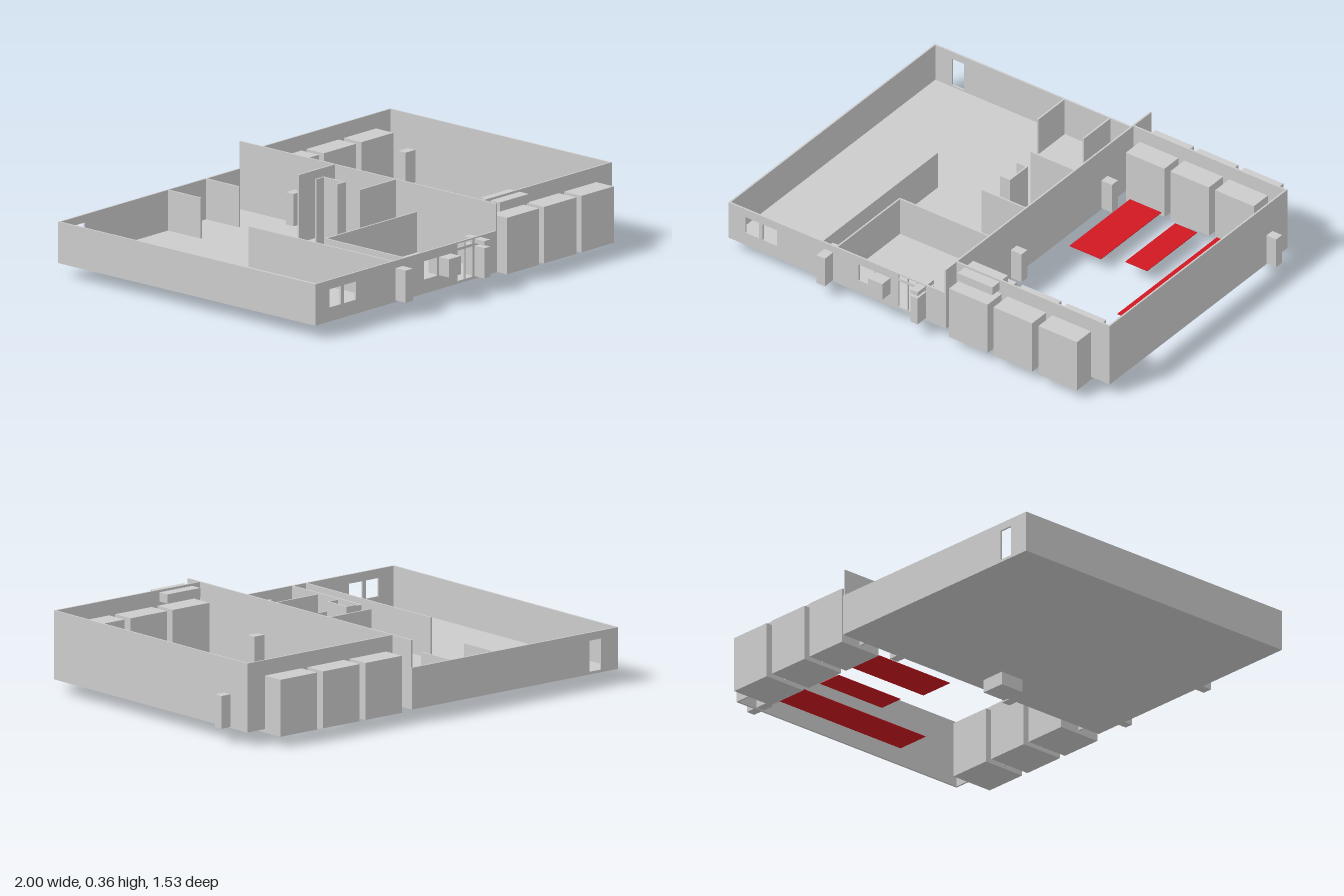
import * as THREE from 'three';

const T = 0.008; // wall thickness
const FLOOR = 0.06, LOW = 0.24, HIGH = 0.36;

export function createModel() {
  const model = new THREE.Group();
  model.name = 'warehouseWithOffice';
  const grey = new THREE.MeshStandardMaterial({ color: 0xcccccc, flatShading: true, side: THREE.DoubleSide });
  const red = new THREE.MeshStandardMaterial({ color: 0xd01820, side: THREE.DoubleSide });

  // Axis-aligned box given by its limits
  function box(name, x0, x1, y0, y1, z0, z1, material = grey) {
    const mesh = new THREE.Mesh(new THREE.BoxGeometry(x1 - x0, y1 - y0, z1 - z0), material);
    mesh.position.set((x0 + x1) / 2, (y0 + y1) / 2, (z0 + z1) / 2);
    mesh.name = name;
    model.add(mesh);
  }
  // Thin walls running along x or along z
  const wallX = (name, x0, x1, z, top) => box(name, x0, x1, FLOOR, top, z - T / 2, z + T / 2);
  const wallZ = (name, x, z0, z1, top) => box(name, x - T / 2, x + T / 2, FLOOR, top, z0, z1);

  // Wall along x with rectangular openings [x0, x1, y0, y1]
  function openWall(name, x0, x1, z, openings) {
    const rect = (path, a, b, c, d) =>
      path.moveTo(a, c).lineTo(b, c).lineTo(b, d).lineTo(a, d).closePath();
    const shape = rect(new THREE.Shape(), x0, x1, FLOOR, LOW);
    for (const o of openings) shape.holes.push(rect(new THREE.Path(), ...o));
    const mesh = new THREE.Mesh(new THREE.ExtrudeGeometry(shape, { depth: T, bevelEnabled: false }), grey);
    mesh.position.z = z - T / 2;
    mesh.name = name;
    model.add(mesh);
  }

  // Office shell
  box('officeFloor', -1, 0.144, FLOOR - 0.002, FLOOR + 0.002, -0.765, 0.704);
  wallZ('officeSideWall', -1 + T / 2, -0.765, 0.704, LOW);
  openWall('officeBackWall', -1, 0.144, -0.761, [[-0.905, -0.84, 0.07, 0.205]]);
  openWall('officeFrontWall', -1, 0.144, 0.7, [
    [-0.91, -0.84, 0.12, 0.2], [-0.82, -0.745, 0.12, 0.2], [-0.315, -0.235, 0.12, 0.2],
    [-0.105, -0.062, 0.07, 0.203], [-0.055, -0.01, 0.07, 0.203],
    [-0.105, -0.062, 0.215, 0.234], [-0.055, -0.01, 0.215, 0.234],
  ]);
  wallZ('dividerWall', 0.14, -0.76, 0.704, HIGH);

  // Office partitions
  wallZ('backPartition', -0.315, -0.765, -0.57, LOW);
  wallZ('backPartition', -0.075, -0.765, -0.57, LOW);
  wallZ('corridorWall', -0.51, -0.12, 0.7, LOW);
  wallZ('frontRoomSideWall', -0.434, 0.25, 0.7, LOW);
  wallX('frontRoomBackWall', -0.434, 0.14, 0.25, LOW);
  wallX('tallPartition', -0.09, 0.14, -0.22, HIGH);
  wallX('tallPartition', -0.09, 0.14, 0.13, HIGH);
  wallX('closetWall', -0.09, -0.04, -0.12, HIGH);
  wallX('closetWall', -0.09, -0.04, 0, HIGH);
  wallZ('closetBackWall', -0.04, -0.124, 0.004, HIGH);

  // Warehouse walls
  wallX('warehouseBackWall', 0.14, 0.949, -0.634, HIGH);
  wallX('warehouseFrontWall', 0.14, 0.949, 0.624, HIGH);
  wallZ('warehouseEndWall', 0.945, -0.634, 0.624, HIGH);

  // Dock blocks on both long warehouse walls
  for (const x of [0.178, 0.412, 0.648]) {
    box('backDock', x, x + 0.203, 0.045, 0.293, -0.74, -0.53);
    box('frontDock', x, x + 0.203, 0.045, 0.293, 0.52, 0.728);
  }
  box('dockSign', 0.187, 0.37, 0.31, 0.35, 0.568, 0.68);

  // Door and window blocks set through the walls
  box('endDoor', 0.88, 1, 0.065, 0.207, -0.53, -0.488);
  box('dividerDoor', 0.08, 0.2, 0.065, 0.207, -0.445, -0.402);
  box('dividerDoor', 0.08, 0.2, 0.065, 0.207, 0.2, 0.242);
  box('frontDoor', -0.495, -0.45, 0.065, 0.207, 0.645, 0.762);
  box('windowBlock', -0.223, -0.148, 0.12, 0.2, 0.645, 0.762);
  box('entranceBlock', 0, 0.038, 0.07, 0.203, 0.645, 0.762);
  box('transomBlock', 0, 0.038, 0.215, 0.234, 0.645, 0.762);

  // Block sunk through the office floor
  box('floorBlock', -0.038, 0.076, 0, 0.115, -0.02, 0.098);

  // Red floor zones
  for (const [x0, x1, z0, z1] of [[0.2, 0.365, -0.53, -0.1], [0.46, 0.575, -0.5, -0.145], [0.664, 0.82, -0.52, 0.187]])
    box('floorZone', x0, x1, 0.06, 0.063, z0, z1, red);

  return model;
}
